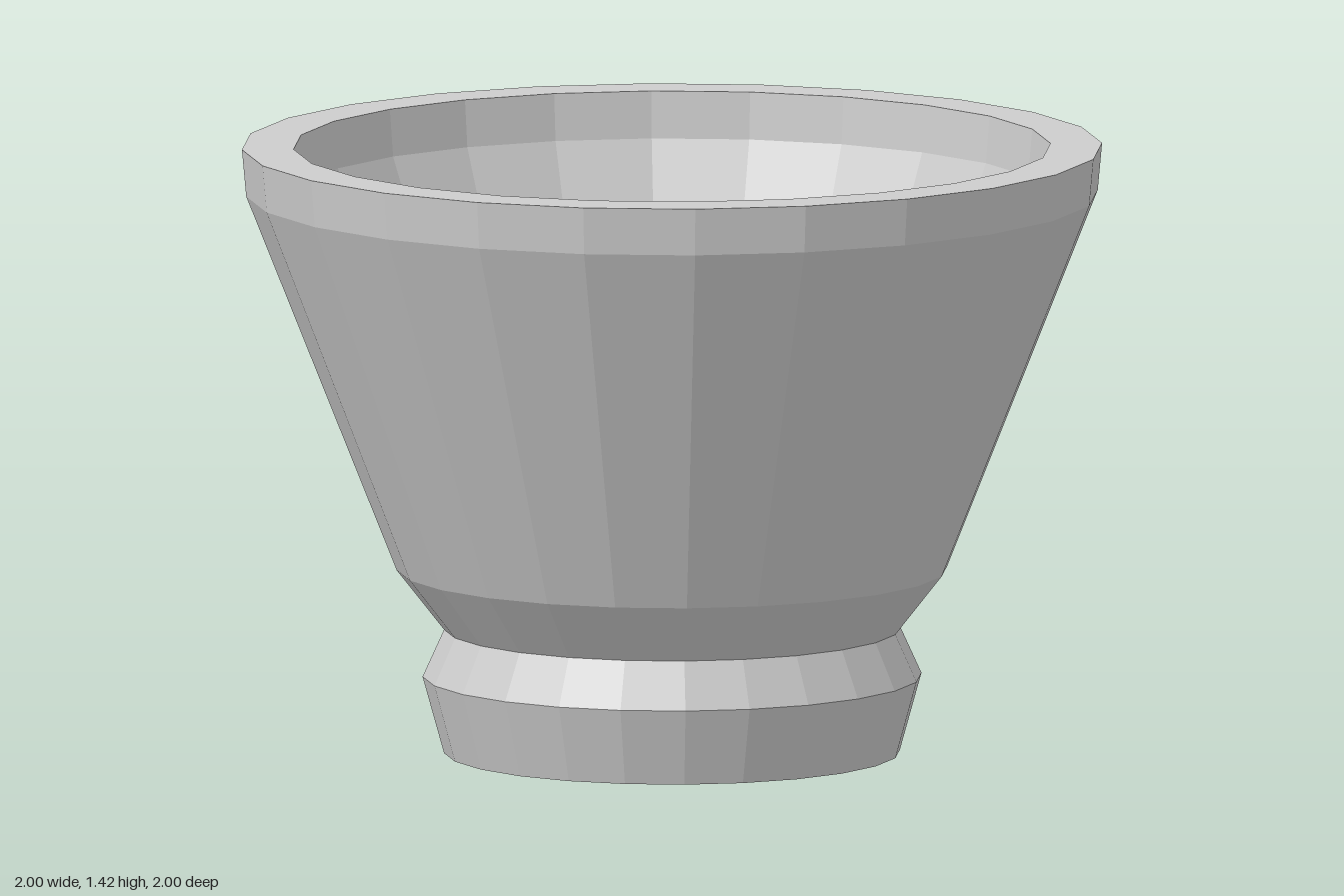
import * as THREE from 'three';

const SIDES = 24;

// Revolves [radius, height] points, listed so the outside faces out
function turned(name, points, material) {
  const profile = points.map(([r, y]) => new THREE.Vector2(r, y));
  const mesh = new THREE.Mesh(new THREE.LatheGeometry(profile, SIDES), material);
  mesh.name = name;
  return mesh;
}

export function createModel() {
  const stone = new THREE.MeshStandardMaterial({ color: 0xcccccc });
  stone.name = 'stone grey';
  stone.flatShading = true;

  const model = new THREE.Group();
  model.name = 'bowl';
  model.add(
    // Solid base flaring to a ridge, then narrowing to the neck
    turned('foot', [[0, 0], [0.53, 0], [0.58, 0.18], [0.53, 0.29]], stone),
    // Outer wall from the neck up to the rim band
    turned('outerWall', [[0.53, 0.29], [0.64, 0.43], [0.99, 1.31]], stone),
    // Thick lip with a flat top
    turned('rim', [[0.99, 1.31], [1, 1.42], [0.88, 1.42], [0.87, 1.31]], stone),
    // Hollow inside, down to a flat floor
    turned('innerWall', [[0.87, 1.31], [0.52, 0.43], [0, 0.43]], stone),
  );
  return model;
}
